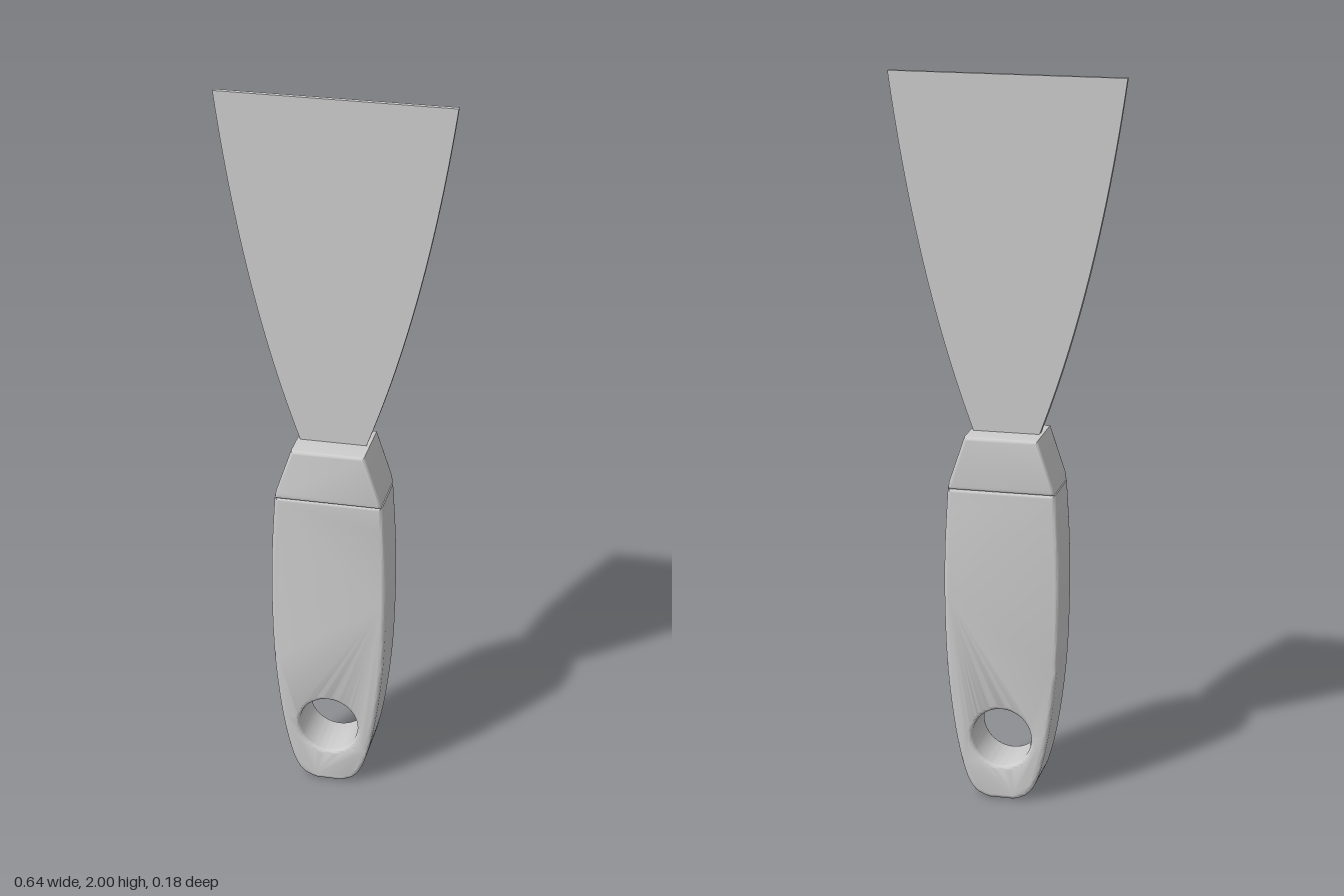
import * as THREE from 'three';
import { toCreasedNormals } from 'three/addons/utils/BufferGeometryUtils.js';

const material = new THREE.MeshStandardMaterial({ color: 0xcccccc });

function addPart(group, name, geometry) {
  const mesh = new THREE.Mesh(toCreasedNormals(geometry, 0.6), material);
  mesh.name = name;
  group.add(mesh);
}

// Closed shape from a right-hand edge (bottom to top), mirrored to the left
function mirroredShape(edge) {
  const left = edge.map(p => new THREE.Vector2(-p.x, p.y)).reverse();
  return new THREE.Shape([...edge, ...left]);
}

// Slab centred on z = 0 with rounded edges that stay inside the outline
function roundedSlab(shape, thickness, bevel) {
  const geometry = new THREE.ExtrudeGeometry(shape, {
    depth: thickness - 2 * bevel, bevelThickness: bevel, bevelSize: bevel,
    bevelOffset: -bevel, bevelSegments: 4, curveSegments: 40,
  });
  return geometry.translate(0, 0, -(thickness - 2 * bevel) / 2);
}

export function createModel() {
  const group = new THREE.Group();
  group.name = 'scraper';
  const v = (x, y) => new THREE.Vector2(x, y);

  // Handle with a rounded hanging hole
  const handleEdge = new THREE.SplineCurve([
    v(0.035, 0), v(0.075, 0.02), v(0.104, 0.075), v(0.132, 0.2), v(0.153, 0.38),
    v(0.16, 0.57), v(0.158, 0.73), v(0.149, 0.89),
  ]).getPoints(40);
  const handle = mirroredShape(handleEdge);
  handle.holes.push(new THREE.Path().absarc(0, 0.18, 0.083, 0, Math.PI * 2, true));
  addPart(group, 'handle', roundedSlab(handle, 0.158, 0.012));

  // Collar, narrowing towards the blade
  const collar = mirroredShape([v(0.146, 0.889), v(0.143, 0.91), v(0.1, 1.038)]);
  addPart(group, 'collar', roundedSlab(collar, 0.175, 0.01));

  // Blade: flat at the back, thinning on the front towards the tip
  const flare = new THREE.QuadraticBezierCurve(v(0.09, 1.035), v(0.245, 1.45), v(0.319, 2));
  const blade = mirroredShape([v(0.076, 1), ...flare.getPoints(32)]);
  const bladeGeometry = new THREE.ExtrudeGeometry(blade, { depth: 1, bevelEnabled: false });
  const pos = bladeGeometry.attributes.position;
  for (let i = 0; i < pos.count; i++) {
    const front = THREE.MathUtils.mapLinear(pos.getY(i), 1, 2, 0.012, -0.002);
    pos.setZ(i, pos.getZ(i) > 0.5 ? front : -0.015);
  }
  addPart(group, 'blade', bladeGeometry);

  return group;
}
